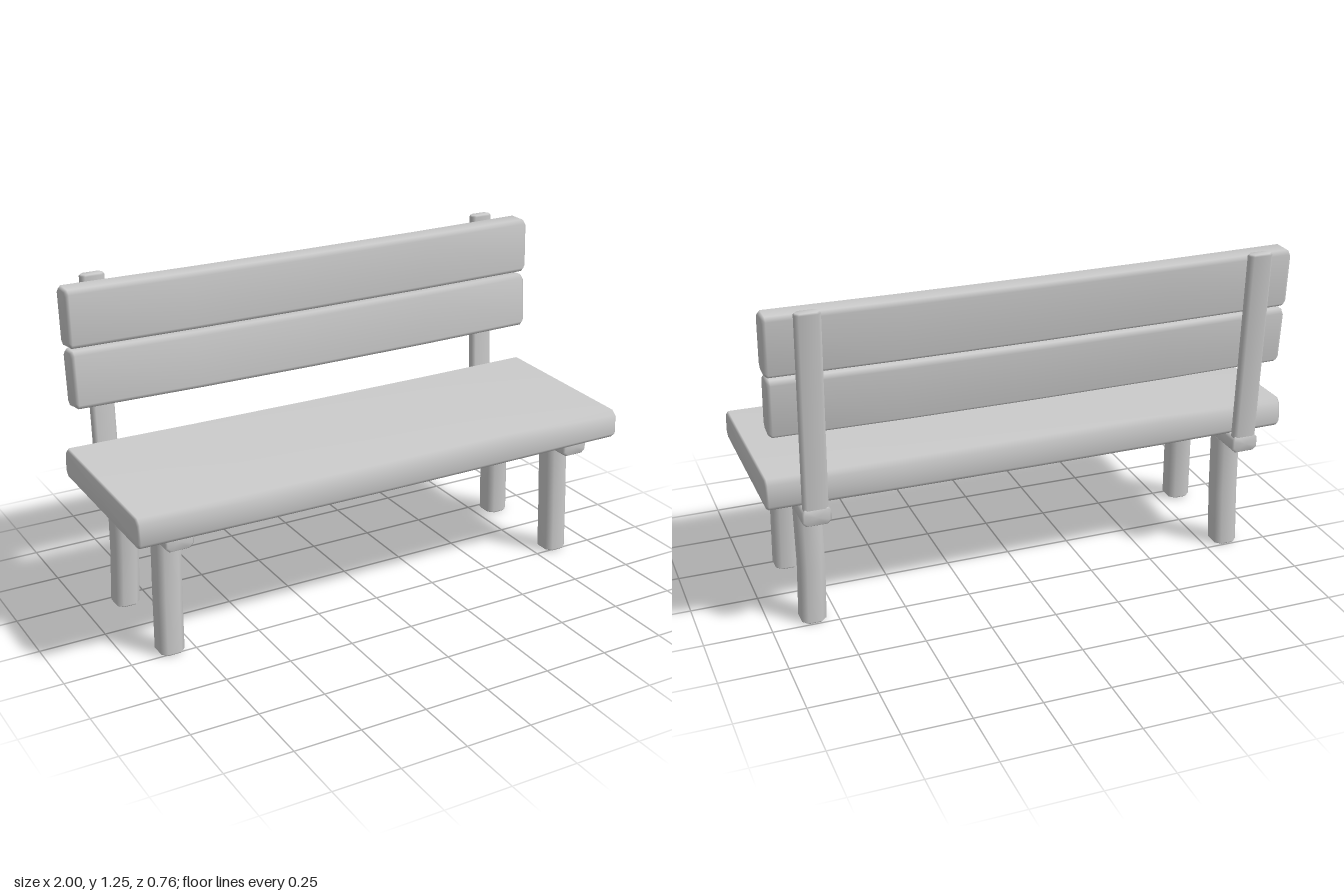
import * as THREE from 'three';

// Maps local (u, v, t) to world so that u x v = t for each length axis.
const AXES = {
  x: (u, v, t) => [t, u, v], // u = y, v = z
  y: (u, v, t) => [v, t, u], // u = z, v = x
  z: (u, v, t) => [u, v, t], // u = x, v = y
};

// Four corners, counter-clockwise, become eight with cut corners.
function chamfer(corners, bevel) {
  const out = [];
  corners.forEach((c, i) => {
    const p = new THREE.Vector2(...c);
    for (const k of [3, 1]) {
      const dir = new THREE.Vector2(...corners[(i + k) % 4]).sub(p).setLength(bevel);
      out.push(p.clone().add(dir));
    }
  });
  return out;
}

// Hewn timber: a chamfered profile lofted through stations [t, du, dv],
// with slightly rounded-over ends.
function timber(name, axis, corners, stations, bevel, endBevel, material) {
  const profile = chamfer(corners, bevel);
  const n = profile.length;
  const mid = profile.reduce((s, p) => s.add(p), new THREE.Vector2()).divideScalar(n);
  const first = stations[0], last = stations[stations.length - 1];
  const rings = [
    { s: first, t: first[0], inset: endBevel },
    { s: first, t: first[0] + endBevel, inset: 0 },
    ...stations.slice(1, -1).map((s) => ({ s, t: s[0], inset: 0 })),
    { s: last, t: last[0] - endBevel, inset: 0 },
    { s: last, t: last[0], inset: endBevel },
  ];
  const pos = [], index = [];
  const put = (u, v, t) => pos.push(...AXES[axis](u, v, t));
  for (const { s, t, inset } of rings) {
    for (const p of profile) {
      const u = p.x - Math.sign(p.x - mid.x) * inset * 0.7;
      const v = p.y - Math.sign(p.y - mid.y) * inset * 0.7;
      put(u + s[1], v + s[2], t);
    }
  }
  put(mid.x + first[1], mid.y + first[2], first[0]);
  put(mid.x + last[1], mid.y + last[2], last[0]);
  const startCentre = rings.length * n, endCentre = startCentre + 1;
  const top = (rings.length - 1) * n;
  for (let j = 0; j < n; j++) {
    const k = (j + 1) % n;
    for (let i = 0; i < rings.length - 1; i++) {
      const a = i * n + j, b = i * n + k;
      index.push(a, b, b + n, a, b + n, a + n);
    }
    index.push(startCentre, k, j, endCentre, top + j, top + k);
  }
  const geometry = new THREE.BufferGeometry();
  geometry.setAttribute('position', new THREE.Float32BufferAttribute(pos, 3));
  geometry.setIndex(index);
  geometry.computeVertexNormals();
  const mesh = new THREE.Mesh(geometry, material);
  mesh.name = name;
  return mesh;
}

const rect = (u0, u1, v0, v1) => [[u0, v0], [u1, v0], [u1, v1], [u0, v1]];

// Stations along x for a plank that sags in the middle.
const sagging = (half, sag) =>
  [-1, -0.5, 0, 0.5, 1].map((f) => [f * half, -sag * (1 - f * f), 0]);

export function createModel() {
  const group = new THREE.Group();
  group.name = 'bench';
  const wood = new THREE.MeshStandardMaterial({ color: 0xcccccc });
  const add = (...args) => group.add(timber(...args, wood));

  // Seat board, a little thicker toward the back
  add('seat', 'x', [[0.515, -0.308], [0.63, -0.3], [0.615, 0.378], [0.505, 0.385]],
    sagging(1, 0.005), 0.018, 0.008);

  // Backrest boards, leaning with the posts
  add('lowerBackBoard', 'x', [[0.785, -0.307], [1.003, -0.323], [1.01, -0.23], [0.797, -0.214]],
    sagging(0.975, 0.008), 0.015, 0.012);
  add('upperBackBoard', 'x', [[1.012, -0.322], [1.235, -0.335], [1.235, -0.235], [1.022, -0.228]],
    sagging(0.98, 0.006), 0.015, 0.012);

  for (const side of [1, -1]) {
    const label = side > 0 ? 'left' : 'right';
    const cx = side * 0.835;

    // Cross beam under the seat
    add(label + 'CrossBeam', 'z', rect(cx - 0.052, cx + 0.052, 0.45, 0.517),
      [[-0.345, 0, 0], [0, 0, -0.002], [0.345, 0, 0]], 0.014, 0.008);

    // Back post, leaning backward
    add(label + 'BackPost', 'y', rect(-0.343, -0.3, cx - 0.045, cx + 0.045),
      [[0.5, 0, 0], [0.9, -0.02, 0], [1.25, -0.037, 0]], 0.012, 0.006);

    // Slightly crooked legs
    add(label + 'FrontLeg', 'y', rect(0.17, 0.265, cx - 0.046, cx + 0.046),
      [[0.003, 0, side * 0.005], [0.22, -0.005, side * 0.002], [0.46, -0.011, -side * 0.004]], 0.02, 0.006);
    add(label + 'BackLeg', 'y', rect(-0.247, -0.15, cx - 0.046, cx + 0.046),
      [[0, 0, side * 0.005], [0.22, 0.004, -side * 0.002], [0.46, 0.014, 0]], 0.02, 0.006);
  }
  return group;
}
